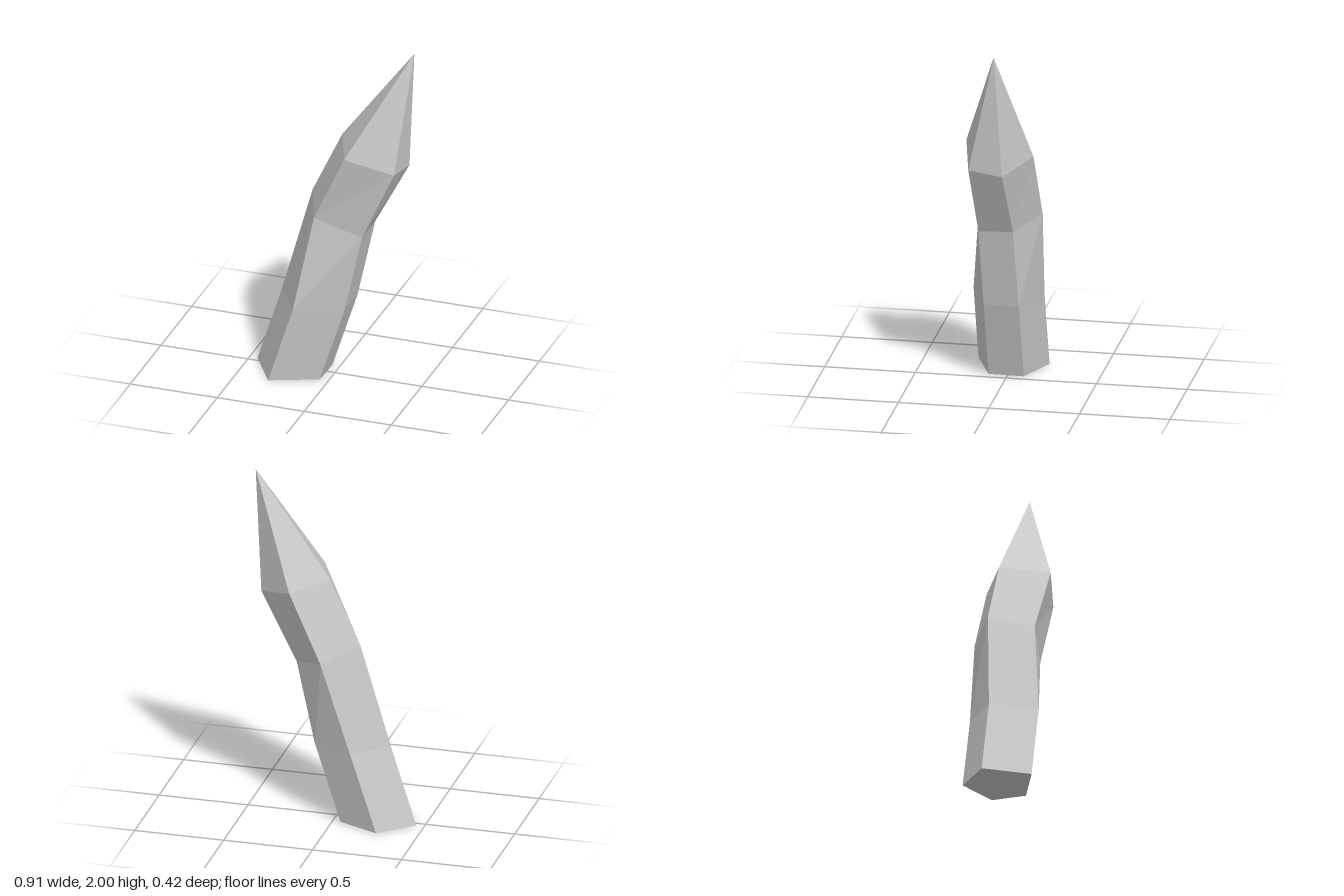
import * as THREE from 'three';

// Five-sided cross-sections from the base up: left, front, right front, right back, back
const rings = [
  [[-0.455, 0, -0.03], [-0.31, 0, 0.21], [-0.05, 0, 0.105], [-0.045, 0, -0.09], [-0.272, 0, -0.19]],
  [[-0.313, 0.45, -0.03], [-0.168, 0.45, 0.21], [0.095, 0.45, 0.105], [0.1, 0.45, -0.09], [-0.125, 0.45, -0.19]],
  [[-0.155, 1.05, -0.08], [-0.065, 1.0, 0.158], [0.197, 0.905, 0.115], [0.205, 0.915, -0.077], [0.035, 0.97, -0.21]],
  [[0.02, 1.42, -0.068], [0.122, 1.4, 0.195], [0.387, 1.32, 0.135], [0.41, 1.3, -0.055], [0.215, 1.36, -0.193]],
];
const tip = [0.452, 2, -0.017];

export function createModel() {
  const group = new THREE.Group();
  group.name = 'crookedSpike';
  const positions = [];
  const tri = (a, b, c) => positions.push(...a, ...b, ...c);
  const top = rings.length - 1;

  for (let i = 0; i < 5; i++) {
    const j = (i + 1) % 5;
    // Shaft walls between neighbouring cross-sections
    for (let k = 0; k < top; k++) {
      const lower = rings[k], upper = rings[k + 1];
      tri(lower[i], lower[j], upper[j]);
      tri(lower[i], upper[j], upper[i]);
    }
    // Pointed end
    tri(rings[top][i], rings[top][j], tip);
  }
  // Flat base
  for (let i = 1; i < 4; i++) tri(rings[0][0], rings[0][i + 1], rings[0][i]);

  const geometry = new THREE.BufferGeometry();
  geometry.setAttribute('position', new THREE.Float32BufferAttribute(positions, 3));
  geometry.computeVertexNormals();

  const spike = new THREE.Mesh(
    geometry,
    new THREE.MeshStandardMaterial({ color: 0xcccccc, flatShading: true })
  );
  spike.name = 'spike';
  group.add(spike);
  return group;
}
